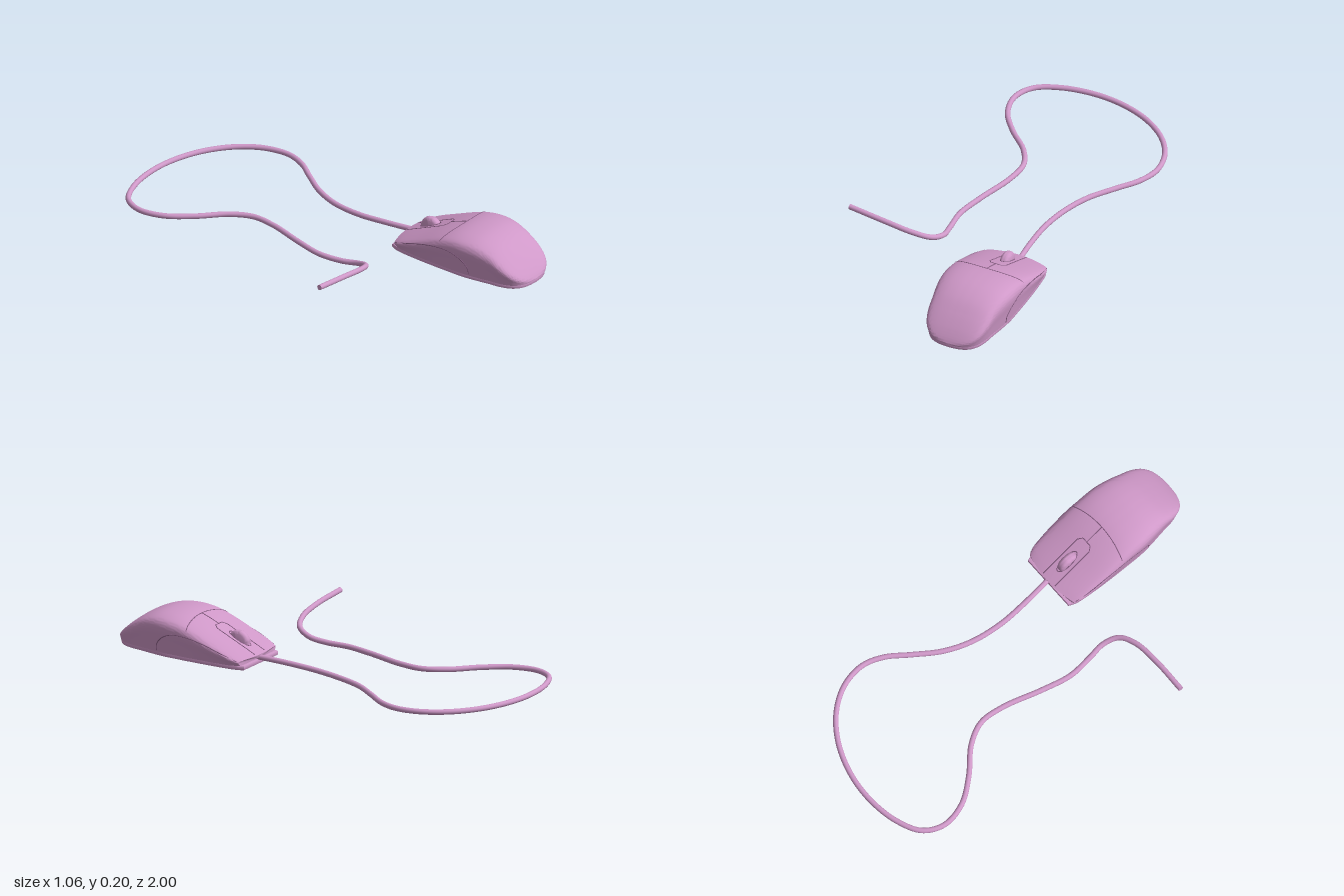
import * as THREE from 'three';
import { toCreasedNormals } from 'three/addons/utils/BufferGeometryUtils.js';

const V = (x, y, z) => new THREE.Vector3(x, y, z);
const CX = 0.268, Y0 = 0.024;

// Lengthwise profile: (z, half width, crown height)
const spine = new THREE.CatmullRomCurve3([
  [0.285, 0.152, 0.05], [0.32, 0.166, 0.066], [0.42, 0.176, 0.11], [0.55, 0.18, 0.166],
  [0.63, 0.18, 0.192], [0.7, 0.179, 0.2], [0.77, 0.17, 0.195], [0.84, 0.157, 0.171],
  [0.9, 0.148, 0.131], [0.95, 0.128, 0.088], [0.98, 0.096, 0.056], [0.995, 0.055, 0.036], [1, 0, 0.028],
].map((p) => V(...p)));

// Half cross-section, bottom edge to crown: (share of half width, share of height)
const section = new THREE.CatmullRomCurve3([
  [0.93, 0], [0.965, 0.3], [1, 0.58], [0.985, 0.72], [0.91, 0.84], [0.7, 0.93], [0.36, 0.985], [0, 1],
].map(([x, y]) => V(x, y, 0)));

// Point on the shell; s runs front edge to palm, u bottom edge to crown
function shell(s, u, side = 1) {
  const p = spine.getPoint(s), q = section.getPoint(u);
  const z = p.x + 0.025 * q.x * q.x * Math.max(0, 1 - (p.x - 0.285) / 0.3);
  return V(CX + side * q.x * p.y, Y0 + (p.z - Y0) * q.y, z);
}

// Solve f(t) = 0 for a rising f
function solve(f, lo, hi) {
  for (let i = 0; i < 30; i++) {
    const m = (lo + hi) / 2;
    if (f(m) < 0) lo = m; else hi = m;
  }
  return (lo + hi) / 2;
}
const sAt = (z) => solve((s) => spine.getPoint(s).x - z, 0, 1);
// Shell point under a top position (x measured from the centre line)
function fromTop(x, z) {
  const s = sAt(z), side = x < 0 ? -1 : 1;
  return shell(s, solve((u) => Math.abs(x) - side * (shell(s, u, side).x - CX), 0.36, 1), side);
}
// Shell point at a height on the flank
function fromSide(y, z, side) {
  const s = sAt(z);
  return shell(s, solve((u) => shell(s, u).y - y, 0, 1), side);
}

// Closed loft of the shell with both ends collapsed to a point
function shellGeometry() {
  const rows = 72, half = 28, pos = [], idx = [];
  const ring = (s) => {
    const r = [];
    for (let j = 0; j <= half; j++) r.push(shell(s, j / half, 1));
    for (let j = half - 1; j >= 0; j--) r.push(shell(s, j / half, -1));
    return r;
  };
  const rings = [];
  for (let i = 0; i <= rows; i++) rings.push(ring(i / rows));
  rings.unshift(rings[0].map(() => V(CX, 0.036, 0.286)));
  const n = rings[0].length;
  rings.forEach((r) => r.forEach((p) => pos.push(p.x, p.y, p.z)));
  for (let i = 0; i < rings.length - 1; i++) {
    for (let j = 0; j < n; j++) {
      const a = i * n + j, b = i * n + (j + 1) % n;
      idx.push(a, b, b + n, a, b + n, a + n);
    }
  }
  const g = new THREE.BufferGeometry();
  g.setAttribute('position', new THREE.Float32BufferAttribute(pos, 3));
  g.setIndex(idx);
  return toCreasedNormals(g, 0.7);
}

export function createModel() {
  const model = new THREE.Group();
  const pink = new THREE.MeshStandardMaterial({ color: 0xcf98c8 });
  const dark = new THREE.MeshStandardMaterial({ color: 0x8a5f86 });
  const add = (parent, name, geometry, material = pink) => {
    const m = new THREE.Mesh(geometry, material);
    m.name = name;
    parent.add(m);
    return m;
  };

  const mouse = new THREE.Group();
  mouse.name = 'mouse';
  model.add(mouse);
  add(mouse, 'shell', shellGeometry());

  // Base plate following the plan outline, slightly inset
  const rim = [];
  for (let i = 0; i <= 40; i++) {
    const p = spine.getPoint(i / 40);
    rim.push([p.y * 0.9, 0.645 + (p.x - 0.645) * 0.98]);
  }
  const outline = [...rim, ...rim.slice(0, -1).reverse().map(([x, z]) => [-x, z])];
  const plan = new THREE.Shape(outline.map(([x, z]) => new THREE.Vector2(CX + x, z)));
  const plate = new THREE.ExtrudeGeometry(plan, {
    depth: 0.012, bevelThickness: 0.004, bevelSize: 0.004, bevelSegments: 2,
  });
  plate.rotateX(Math.PI / 2).translate(0, 0.022, 0);
  add(mouse, 'basePlate', toCreasedNormals(plate, 0.6));

  // Seams laid along the shell
  const seam = (name, pts, closed = false) => {
    const path = new THREE.CatmullRomCurve3(pts, closed);
    add(mouse, name, new THREE.TubeGeometry(path, 64, 0.0022, 6, closed), dark);
  };
  // Straight runs in plan, subdivided so they hug the shell
  const run = (corners) => corners.slice(1).flatMap(([x, z], k) =>
    [0.02, 0.25, 0.5, 0.75, 0.98].map((t) => {
      const [x0, z0] = corners[k];
      return fromTop(x0 + (x - x0) * t, z0 + (z - z0) * t);
    }));
  const across = [];
  for (let i = -10; i <= 10; i++) {
    const x = 0.017 * i;
    across.push(fromTop(x, 0.605 - 0.9 * x * x));
  }
  seam('buttonRearSeam', across);
  seam('buttonSplitSeam', run([[0, 0.515], [0, 0.605]]));
  seam('centrePanelSeam', run([
    [-0.04, 0.288], [-0.04, 0.495], [-0.025, 0.515], [0.025, 0.515], [0.04, 0.495], [0.04, 0.288],
  ]));
  const slot = [];
  for (let i = 0; i < 24; i++) {
    const a = (i / 24) * Math.PI * 2;
    slot.push(fromTop(0.023 * Math.cos(a), 0.4 + 0.056 * Math.sin(a)));
  }
  seam('wheelSlotRim', slot, true);
  for (const side of [1, -1]) {
    seam(side > 0 ? 'leftGripSeam' : 'rightGripSeam', [
      [0.03, 0.74], [0.06, 0.738], [0.09, 0.715], [0.112, 0.68], [0.123, 0.63],
      [0.12, 0.56], [0.102, 0.47], [0.075, 0.38], [0.046, 0.295],
    ].map(([y, z]) => fromSide(y, z, side)));
  }

  // Scroll wheel with a rounded tread
  const tread = [[0, -0.02], [0.042, -0.02], [0.05, -0.015], [0.054, -0.006],
    [0.054, 0.006], [0.05, 0.015], [0.042, 0.02], [0, 0.02]].map((p) => new THREE.Vector2(...p));
  const wheel = add(mouse, 'scrollWheel', toCreasedNormals(new THREE.LatheGeometry(tread, 40), 0.7));
  wheel.rotation.z = Math.PI / 2;
  wheel.position.set(CX, 0.086, 0.405);

  // Cable: leaves the nose, loops behind and lifts at its free end
  const g = 0.0125;
  const path = new THREE.CatmullRomCurve3([
    [0.277, 0.036, 0.31], [0.262, 0.028, 0.15], [0.258, 0.019, 0], [0.28, g, -0.15], [0.33, g, -0.28],
    [0.41, g, -0.4], [0.48, g, -0.5], [0.512, g, -0.6], [0.492, g, -0.72], [0.42, g, -0.83],
    [0.3, g, -0.92], [0.15, g, -0.974], [0, g, -0.9875], [-0.15, g, -0.963], [-0.26, g, -0.905],
    [-0.304, g, -0.81], [-0.28, g, -0.69], [-0.2, g, -0.58], [-0.09, g, -0.47], [-0.04, g, -0.37],
    [-0.047, g, -0.25], [-0.1, g, -0.06], [-0.13, g, 0.08], [-0.122, 0.015, 0.2], [-0.115, 0.028, 0.28],
    [-0.143, 0.053, 0.35], [-0.22, 0.079, 0.385], [-0.35, 0.102, 0.394], [-0.529, 0.12, 0.388],
  ].map((p) => V(...p)));
  const cable = new THREE.Group();
  cable.name = 'cable';
  model.add(cable);
  add(cable, 'cord', new THREE.TubeGeometry(path, 300, g, 14));
  const end = add(cable, 'cordEnd', new THREE.CircleGeometry(g, 14));
  end.position.copy(path.getPoint(1));
  end.lookAt(path.getPoint(1).add(path.getTangent(1)));

  return model;
}
